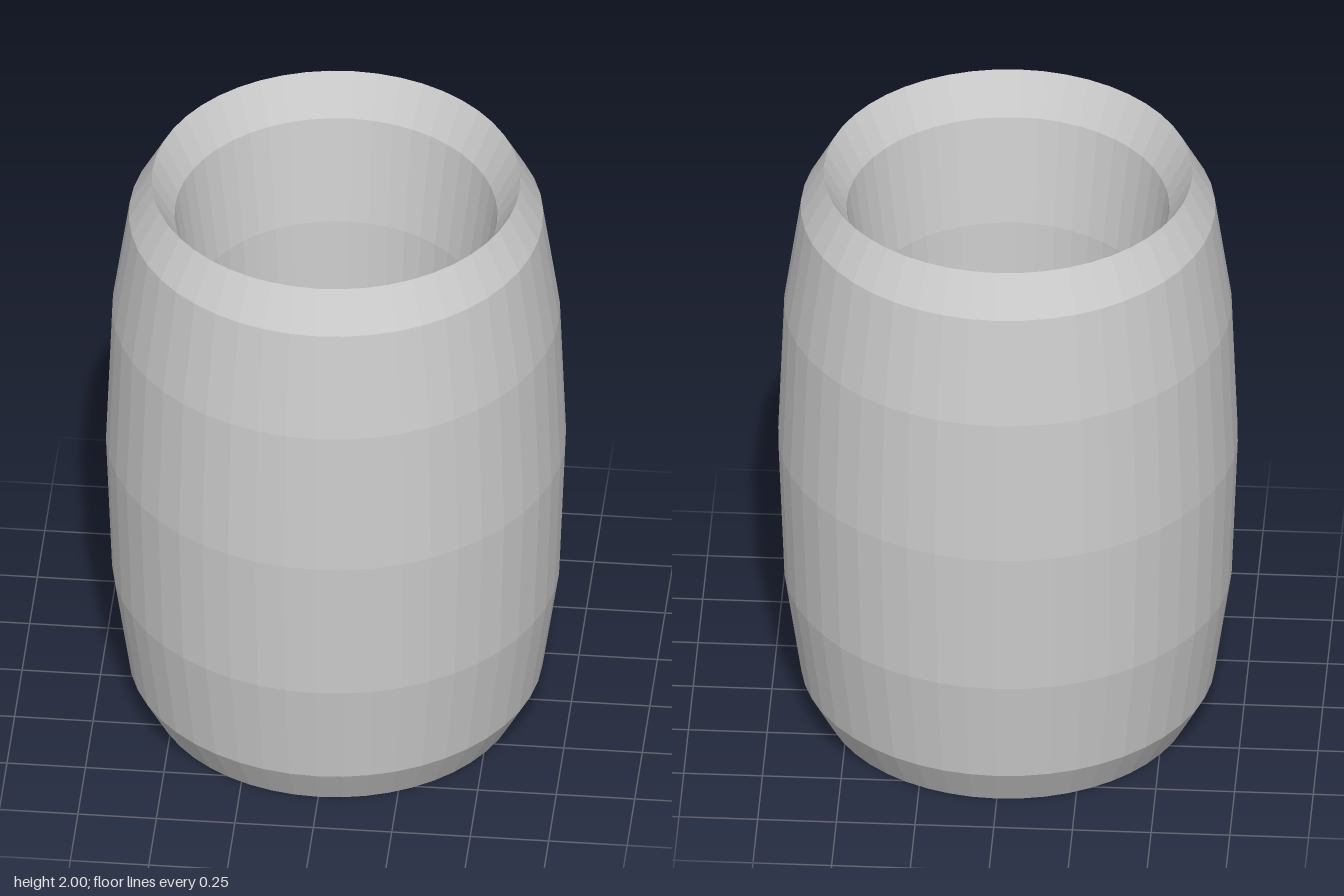
import * as THREE from 'three';

export function createModel() {
  const group = new THREE.Group();
  const ringRadius = 0.585;
  const wallRadius = 0.145;

  // Faceted ring laid flat, then stretched upward into a tall barrel-shaped sleeve
  const geometry = new THREE.TorusGeometry(ringRadius, wallRadius, 12, 48);
  geometry.rotateX(-Math.PI / 2);
  geometry.scale(1, 1 / wallRadius, 1);
  geometry.translate(0, 1, 0);

  const material = new THREE.MeshStandardMaterial({ color: 0xcccccc, flatShading: true });
  const sleeve = new THREE.Mesh(geometry, material);
  sleeve.name = 'barrelSleeve';
  group.add(sleeve);
  return group;
}
